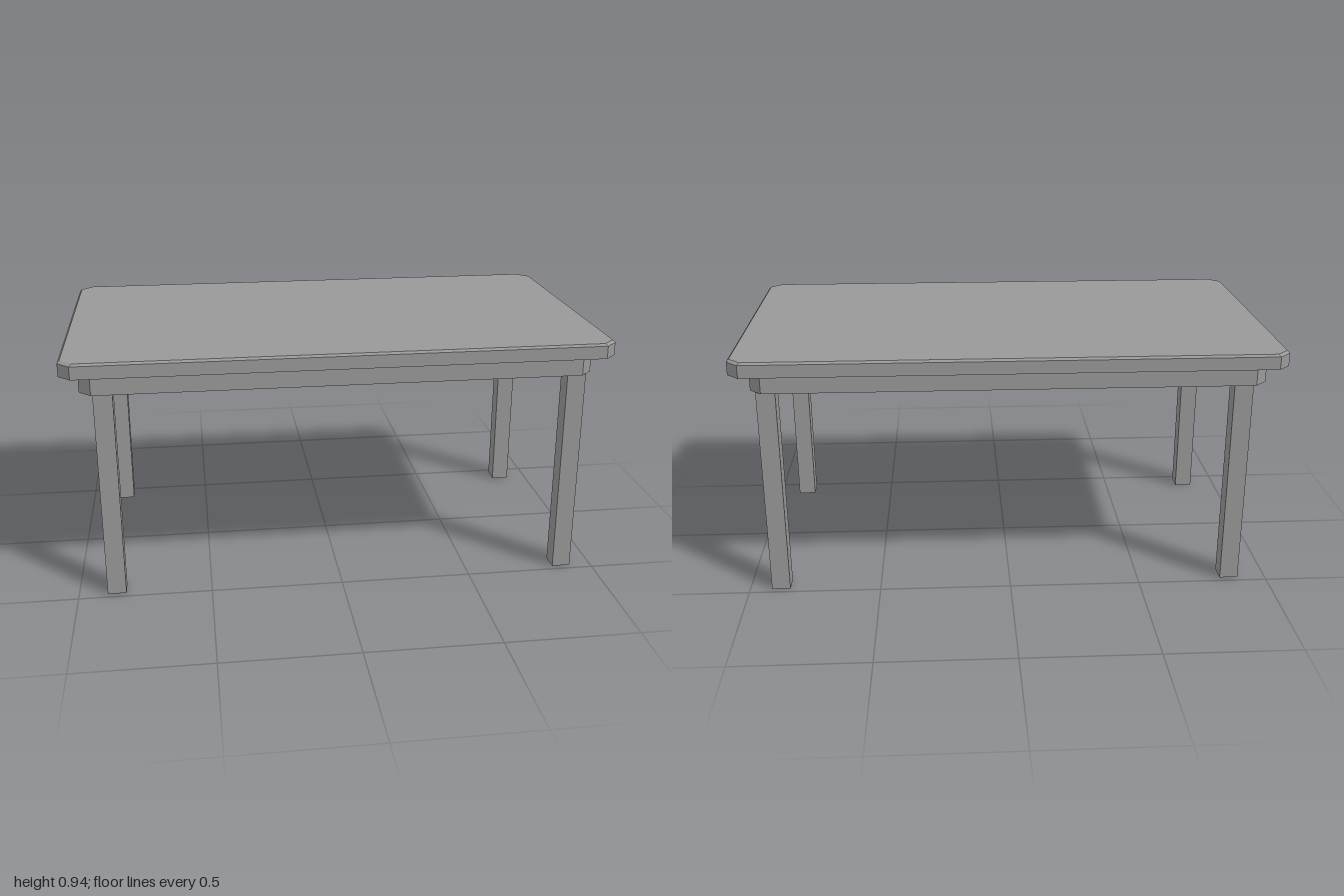
import * as THREE from 'three';

const material = new THREE.MeshStandardMaterial({ color: 0x999999, flatShading: true });

// Flat slab with cut corners; its upper edge can be bevelled inward
function slab(name, halfX, halfZ, cut, y0, y1, bevel = 0) {
  const shape = new THREE.Shape([
    [halfX - cut, -halfZ], [halfX, -halfZ + cut], [halfX, halfZ - cut], [halfX - cut, halfZ],
    [-halfX + cut, halfZ], [-halfX, halfZ - cut], [-halfX, -halfZ + cut], [-halfX + cut, -halfZ],
  ].map(([x, y]) => new THREE.Vector2(x, y)));
  const h = y1 - y0;
  const geo = new THREE.ExtrudeGeometry(shape, { depth: h, steps: bevel ? 2 : 1, bevelEnabled: false });
  geo.rotateX(-Math.PI / 2);
  if (bevel) {
    // Lift the middle ring close to the top, and draw the top ring inward
    const p = geo.attributes.position;
    for (let i = 0; i < p.count; i++) {
      const y = p.getY(i);
      if (y > h * 0.75) {
        p.setX(i, p.getX(i) * (1 - bevel / halfX));
        p.setZ(i, p.getZ(i) * (1 - bevel / halfZ));
      } else if (y > h * 0.25) {
        p.setY(i, h - bevel);
      }
    }
  }
  geo.computeVertexNormals();
  const mesh = new THREE.Mesh(geo, material);
  mesh.name = name;
  mesh.position.y = y0;
  return mesh;
}

export function createModel() {
  const table = new THREE.Group();
  table.name = 'table';

  // Table top
  table.add(slab('tableTop', 1, 0.568, 0.044, 0.885, 0.941, 0.008));

  // Apron under the top
  const apron = slab('apron', 0.939, 0.501, 0.044, 0.803, 0.885);
  apron.position.x = -0.001;
  apron.position.z = 0.001;
  table.add(apron);

  // Four square legs
  const legGeo = new THREE.BoxGeometry(0.07, 0.803, 0.071);
  for (const [sideName, x] of [['Right', -0.858], ['Left', 0.882]]) {
    for (const [endName, z] of [['front', 0.44], ['back', -0.44]]) {
      const leg = new THREE.Mesh(legGeo, material);
      leg.name = `${endName}${sideName}Leg`;
      leg.position.set(x, 0.4015, z);
      table.add(leg);
    }
  }
  return table;
}
